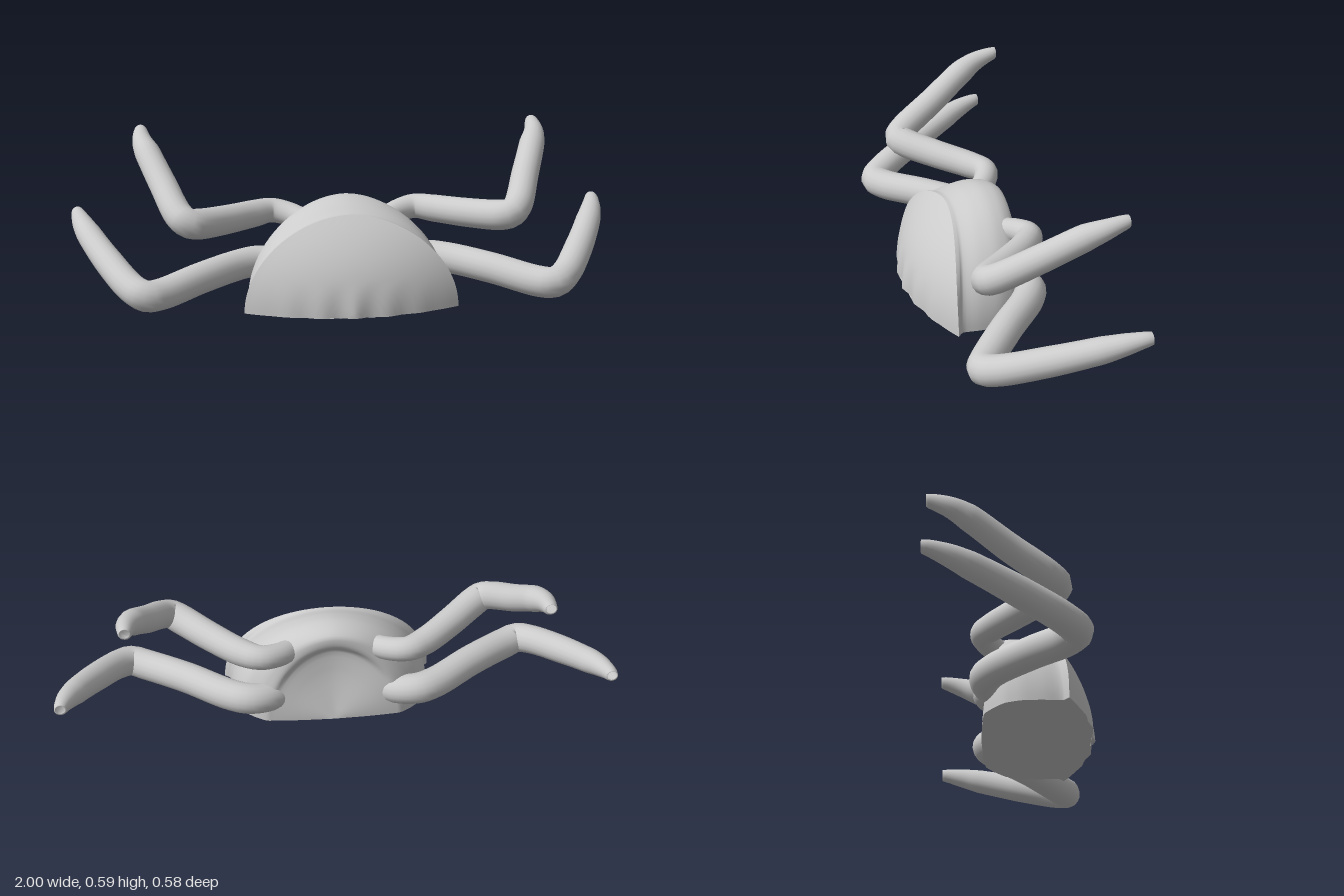
import * as THREE from 'three';
import { mergeVertices } from 'three/addons/utils/BufferGeometryUtils.js';

const material = new THREE.MeshStandardMaterial({ color: 0xcccccc, side: THREE.DoubleSide });
const ARC = 48;

function addMesh(group, geometry, name) {
  const mesh = new THREE.Mesh(geometry, material);
  mesh.name = name;
  group.add(mesh);
}

// Skins a list of equally long point rows with smooth normals
function loft(rows) {
  const n = rows[0].length, index = [];
  for (let i = 0; i < rows.length - 1; i++) {
    for (let j = 0; j < n - 1; j++) {
      const a = i * n + j, b = a + n;
      index.push(a, b, a + 1, b, b + 1, a + 1);
    }
  }
  let geo = new THREE.BufferGeometry();
  geo.setAttribute('position', new THREE.Float32BufferAttribute(rows.flat(2), 3));
  geo.setIndex(index);
  geo = mergeVertices(geo, 1e-5);
  geo.computeVertexNormals();
  return geo;
}

// Arch over the body, from its left foot to its right foot
function arch(w, h, pointZ) {
  return Array.from({ length: ARC + 1 }, (_, j) => {
    const t = (j / ARC) * Math.PI, c = Math.cos(t), s = Math.max(0, Math.sin(t));
    const x = w * Math.sign(c) * Math.pow(Math.abs(c), 1.08);
    const y = j % ARC ? h * s : 0;
    return [x, y, pointZ(x, y, s)];
  });
}

// Bulging front plate surface, with ripples toward its lower edge
function plateZ(x, y) {
  const ripple = 0.008 * Math.cos(x * 52) * Math.max(0, 1 - y / 0.12) * Math.max(0, 1 - Math.abs(x) / 0.34);
  return 0.283 - 0.095 * (x / 0.385) ** 2 - 0.16 * Math.pow(y / 0.335, 2.2) + ripple;
}

function buildBody() {
  const body = new THREE.Group();
  body.name = 'body';

  const plate = [];
  for (let i = 0; i <= 16; i++) plate.push(arch(0.385 * i / 16, 0.335 * i / 16, plateZ));
  addMesh(body, loft(plate), 'frontPlate');

  // Shell sections: half width, height, z at the feet, z at the crown
  const sections = [
    [0.385, 0.335, 0.188, 0.123], [0.362, 0.338, 0.165, 0.1], [0.366, 0.358, 0.1, 0.05],
    [0.362, 0.37, 0.03, 0.0], [0.34, 0.367, -0.03, -0.05], [0.29, 0.345, -0.075, -0.088],
    [0.25, 0.305, -0.1, -0.088], [0.22, 0.265, -0.105, -0.06], [0.15, 0.17, -0.11, -0.07],
    [0, 0, -0.115, -0.115],
  ];
  const shell = [arch(0.385, 0.335, plateZ)];
  const steps = 4;
  const a = new THREE.CatmullRomCurve3(sections.map(s => new THREE.Vector3(s[0], s[1], 0)));
  const b = new THREE.CatmullRomCurve3(sections.map(s => new THREE.Vector3(s[2], s[3], 0)));
  const total = (sections.length - 1) * steps;
  for (let i = 1; i <= total; i++) {
    const size = a.getPoint(i / total), depth = b.getPoint(i / total);
    shell.push(arch(size.x, size.y, (x, y, s) => depth.x + (depth.y - depth.x) * s * s));
  }
  addMesh(body, loft(shell), 'shell');

  // Flat floor between the feet of every section
  const floor = [...plate, ...shell.slice(1)].map(row => [row[ARC], row[0]]);
  addMesh(body, loft(floor), 'underside');
  return body;
}

// Tapered tube through [x, y, z, radius] points, cut flat at the rear
function buildLeg(points, side) {
  const curve = new THREE.CatmullRomCurve3(
    points.map(p => new THREE.Vector3(p[0] * side, p[1], p[2])), false, 'centripetal');
  const seg = 72, radial = 18, last = points.length - 1;
  const tube = new THREE.TubeGeometry(curve, seg, 1, radial, false);
  const pos = tube.attributes.position, v = new THREE.Vector3();
  const lengths = curve.getLengths(last * 40);
  const whole = lengths[lengths.length - 1];
  for (let i = 0; i <= seg; i++) {
    const u = i / seg;
    const center = curve.getPointAt(u);
    // Blend the radius between the two nearest path points
    let k = 0;
    while (k < last - 1 && lengths[(k + 1) * 40] < u * whole) k++;
    const f = (u * whole - lengths[k * 40]) / (lengths[(k + 1) * 40] - lengths[k * 40]);
    const r = THREE.MathUtils.lerp(points[k][3], points[k + 1][3], THREE.MathUtils.clamp(f, 0, 1));
    for (let j = 0; j <= radial; j++) {
      const id = i * (radial + 1) + j;
      v.fromBufferAttribute(pos, id).sub(center).multiplyScalar(r).add(center);
      pos.setXYZ(id, v.x, v.y, Math.max(v.z, -0.292));
    }
  }
  tube.deleteAttribute('uv');
  tube.deleteAttribute('normal');
  const geo = mergeVertices(tube, 1e-5);
  geo.computeVertexNormals();
  return geo;
}

export function createModel() {
  const model = new THREE.Group();
  model.name = 'crab';
  model.add(buildBody());

  const legs = {
    Upper: [
      [0.14, 0.27, -0.03, 0.04], [0.2, 0.285, -0.085, 0.043], [0.265, 0.295, -0.108, 0.045],
      [0.33, 0.295, -0.07, 0.05], [0.44, 0.303, 0.03, 0.053], [0.54, 0.318, 0.125, 0.055],
      [0.575, 0.328, 0.146, 0.053], [0.605, 0.347, 0.12, 0.052], [0.66, 0.43, -0.02, 0.05],
      [0.71, 0.512, -0.15, 0.047], [0.728, 0.54, -0.21, 0.037], [0.733, 0.562, -0.28, 0.025],
      [0.734, 0.566, -0.31, 0.018],
    ],
    Lower: [
      [0.18, 0.08, -0.03, 0.05], [0.24, 0.095, -0.08, 0.055], [0.31, 0.105, -0.097, 0.057],
      [0.38, 0.105, -0.065, 0.057], [0.53, 0.098, 0.06, 0.057], [0.68, 0.08, 0.18, 0.057],
      [0.73, 0.083, 0.205, 0.056], [0.775, 0.098, 0.17, 0.054], [0.86, 0.155, 0.02, 0.052],
      [0.932, 0.214, -0.14, 0.046], [0.957, 0.238, -0.21, 0.037], [0.974, 0.256, -0.28, 0.025],
      [0.976, 0.258, -0.31, 0.018],
    ],
  };
  for (const [name, points] of Object.entries(legs)) {
    addMesh(model, buildLeg(points, 1), 'left' + name + 'Leg');
    addMesh(model, buildLeg(points, -1), 'right' + name + 'Leg');
  }
  return model;
}
